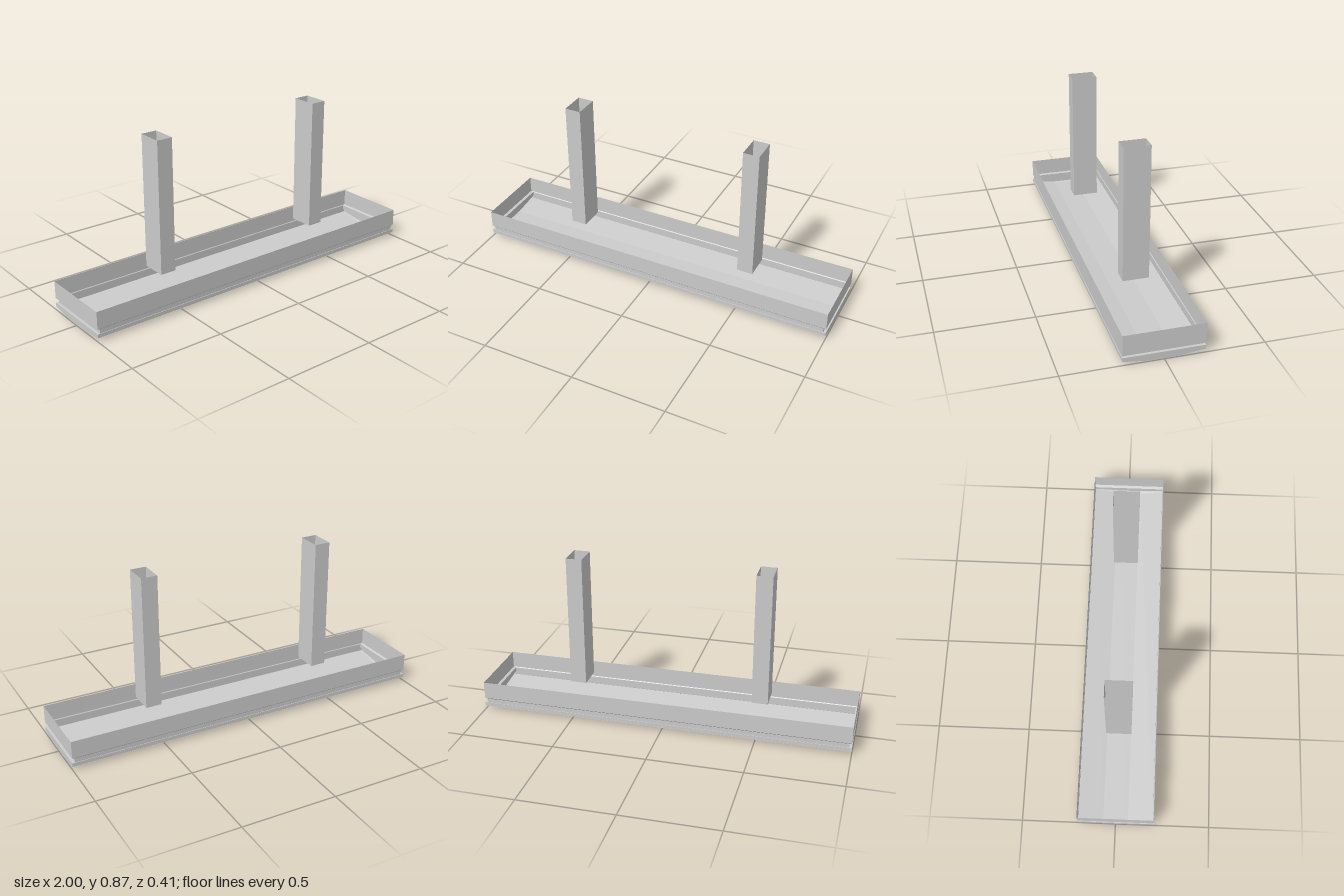
import * as THREE from 'three';

const material = new THREE.MeshStandardMaterial({
  color: 0xcccccc, flatShading: true, side: THREE.DoubleSide,
});

// Skins a list of rows (each a list of [x, y, z]) with quads.
function skin(rows, closed) {
  const n = rows[0].length;
  const index = [];
  for (let r = 0; r < rows.length - 1; r++) {
    for (let i = 0; i < (closed ? n : n - 1); i++) {
      const j = (i + 1) % n;
      const a = r * n + i, b = r * n + j, c = a + n, d = b + n;
      index.push(a, c, b, b, c, d);
    }
  }
  const indexed = new THREE.BufferGeometry();
  indexed.setAttribute('position', new THREE.Float32BufferAttribute(rows.flat(2), 3));
  indexed.setIndex(index);
  const geometry = indexed.toNonIndexed();
  geometry.computeVertexNormals();
  return geometry;
}

// Rectangular loop with two extra points on each end, where the height may dip.
function ring(hx, hz, y, yMid = y) {
  const mid = 0.066;
  return [
    [-hx, y, hz], [hx, y, hz], [hx, yMid, mid], [hx, yMid, -mid],
    [hx, y, -hz], [-hx, y, -hz], [-hx, yMid, -mid], [-hx, yMid, mid],
  ];
}

function addMesh(parent, name, geometry) {
  const mesh = new THREE.Mesh(geometry, material);
  mesh.name = name;
  parent.add(mesh);
  return mesh;
}

export function createModel() {
  const model = new THREE.Group();
  model.name = 'hangingTray';

  // Upper rim, recessed groove and lower lip, from top to bottom
  addMesh(model, 'rimWall', skin([ring(1, 0.203, 0.16), ring(1, 0.203, 0.067)], true));
  addMesh(model, 'groove', skin([
    ring(1, 0.203, 0.067), ring(0.985, 0.2, 0.063),
    ring(0.985, 0.2, 0.04), ring(1, 0.203, 0.04),
  ], true));
  addMesh(model, 'lowerLip', skin([ring(1, 0.203, 0.04), ring(1, 0.203, 0.02, 0.003)], true));

  // Three-facet bottom panel with slightly bevelled ends
  const stations = [[-1, 0], [-0.985, 0.003], [0.985, 0.003], [1, 0]];
  addMesh(model, 'bottomPanel', skin(stations.map(([x, drop]) => [
    [x, 0.02 - drop * 0.3, -0.203], [x, 0.003 - drop, -0.066],
    [x, 0.003 - drop, 0.066], [x, 0.02 - drop * 0.3, 0.203],
  ]), false));

  // Hollow square-cut posts, open at both ends
  const postRing = (y) => [
    [-0.043, y, 0.068], [0.043, y, 0.068], [0.043, y, -0.068], [-0.043, y, -0.068],
  ];
  const post = skin([postRing(0.872), postRing(0.16)], true);
  for (const side of [-1, 1]) {
    addMesh(model, side > 0 ? 'leftPost' : 'rightPost', post).position.x = side * 0.5;
  }
  return model;
}
